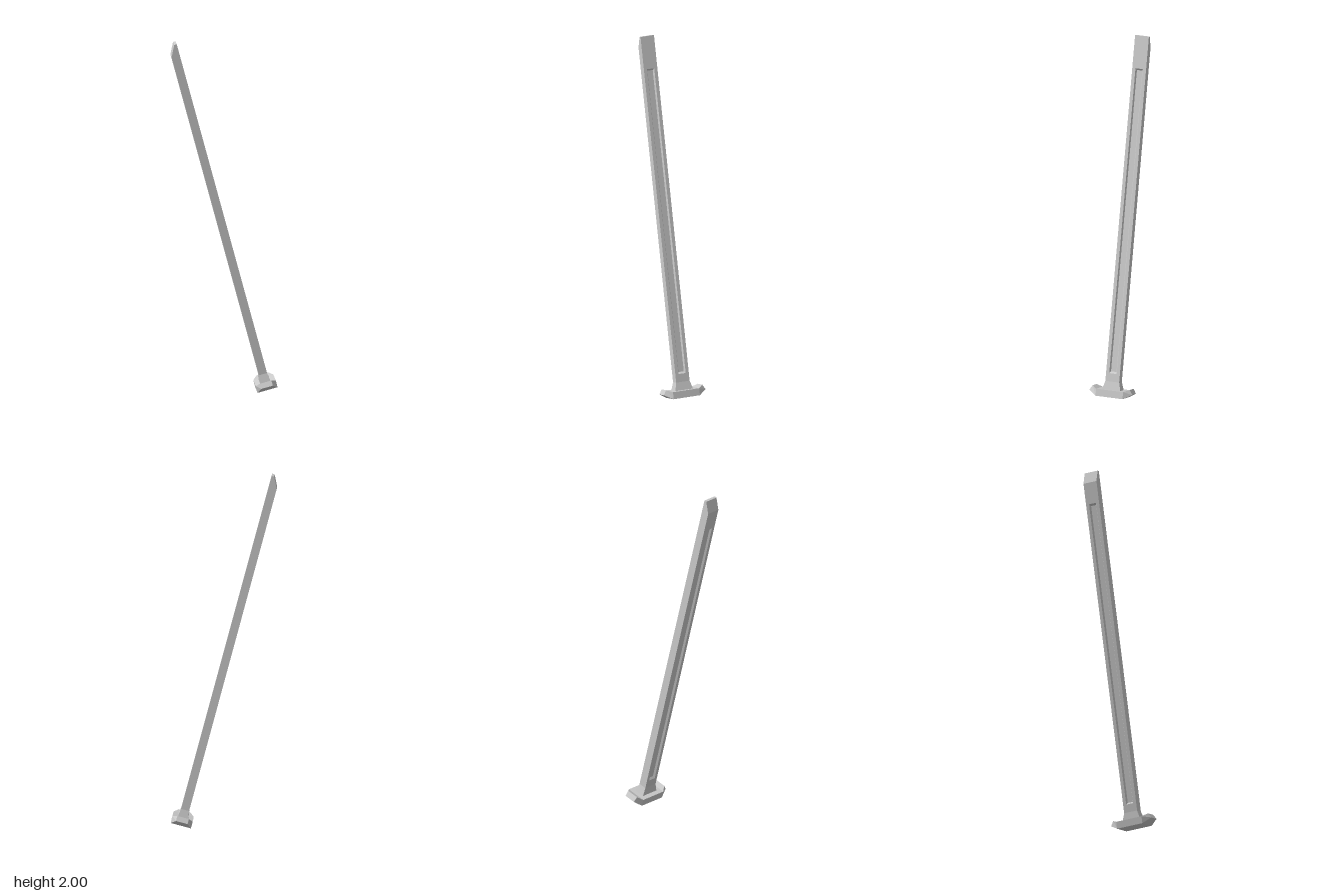
import * as THREE from 'three';

// Flat-shaded geometry from convex polygons, each fanned into triangles
function fromPolygons(polygons) {
  const pos = [];
  for (const p of polygons)
    for (let i = 1; i < p.length - 1; i++) pos.push(...p[0], ...p[i], ...p[i + 1]);
  const g = new THREE.BufferGeometry();
  g.setAttribute('position', new THREE.Float32BufferAttribute(pos, 3));
  g.computeVertexNormals();
  return g;
}

// Quads joining successive rings (counter-clockwise seen from the last ring)
function strips(rings, closed = true) {
  const out = [];
  for (let r = 0; r < rings.length - 1; r++) {
    const a = rings[r], b = rings[r + 1], n = a.length;
    for (let i = 0; i < (closed ? n : n - 1); i++) {
      const j = (i + 1) % n;
      out.push([a[i], a[j], b[j], b[i]]);
    }
  }
  return out;
}

const reversed = (p) => [...p].reverse();

export function createModel() {
  const material = new THREE.MeshStandardMaterial({ color: 0xcccccc, flatShading: true });
  const leaning = new THREE.Group();
  leaning.name = 'leaningPost';
  const add = (name, polygons) => {
    const mesh = new THREE.Mesh(fromPolygons(polygons), material);
    mesh.name = name;
    leaning.add(mesh);
  };

  // Foot plate: flat middle, narrowed ends curling upward
  const section = (w, y0, z0, y1, z1) => [[-w, y0, z0], [w, y0, z0], [w, y1, z1], [-w, y1, z1]];
  const foot = [
    section(0.0335, 0.027, -0.127, 0.054, -0.11),
    section(0.0585, 0, -0.08, 0.04, -0.08),
    section(0.0585, 0, 0.08, 0.04, 0.08),
    section(0.0335, 0.027, 0.127, 0.054, 0.11),
  ];
  add('footPlate', [...strips(foot), reversed(foot[0]), foot[3]]);

  // Flared neck between plate and post
  const W = 0.0235, D = 0.041, BASE = 0.086, TOP = 2.049, SHOULDER = 1.985;
  const level = (w, y, d) => [[-w, y, d], [w, y, d], [w, y, -d], [-w, y, -d]];
  add('neck', strips([level(0.03, 0.039, 0.054), level(W, BASE, D)]));

  // Post sides and the one-sided chamfered tip
  const outline = [[W, BASE], [W, TOP], [0.009, TOP], [-W, SHOULDER], [-W, BASE]];
  const at = (z) => outline.map(([x, y]) => [x, y, z]);
  add('post', [at(D), reversed(at(-D)), ...strips([at(-D).slice(1, 4), at(D).slice(1, 4)], false)]);

  // Wide faces, each with a long recessed groove with sloping walls
  for (const side of [1, -1]) {
    const rect = (x, y0, y1, d) => {
      const p = [[side * x, y0, d], [side * x, y0, -d], [side * x, y1, -d], [side * x, y1, d]];
      return side > 0 ? p : reversed(p);
    };
    const rings = [
      rect(W, BASE, side > 0 ? TOP : SHOULDER, D),
      rect(W, 0.132, 1.863, 0.022),
      rect(W - 0.011, 0.142, 1.853, 0.016),
    ];
    add(side > 0 ? 'leftGroovedFace' : 'rightGroovedFace', [...strips(rings), rings[2]]);
  }

  // Lean the whole post toward -x
  leaning.rotation.z = THREE.MathUtils.degToRad(15);
  leaning.position.set(0.2395, 0.015, 0);
  const model = new THREE.Group();
  model.name = 'model';
  model.add(leaning);
  return model;
}
